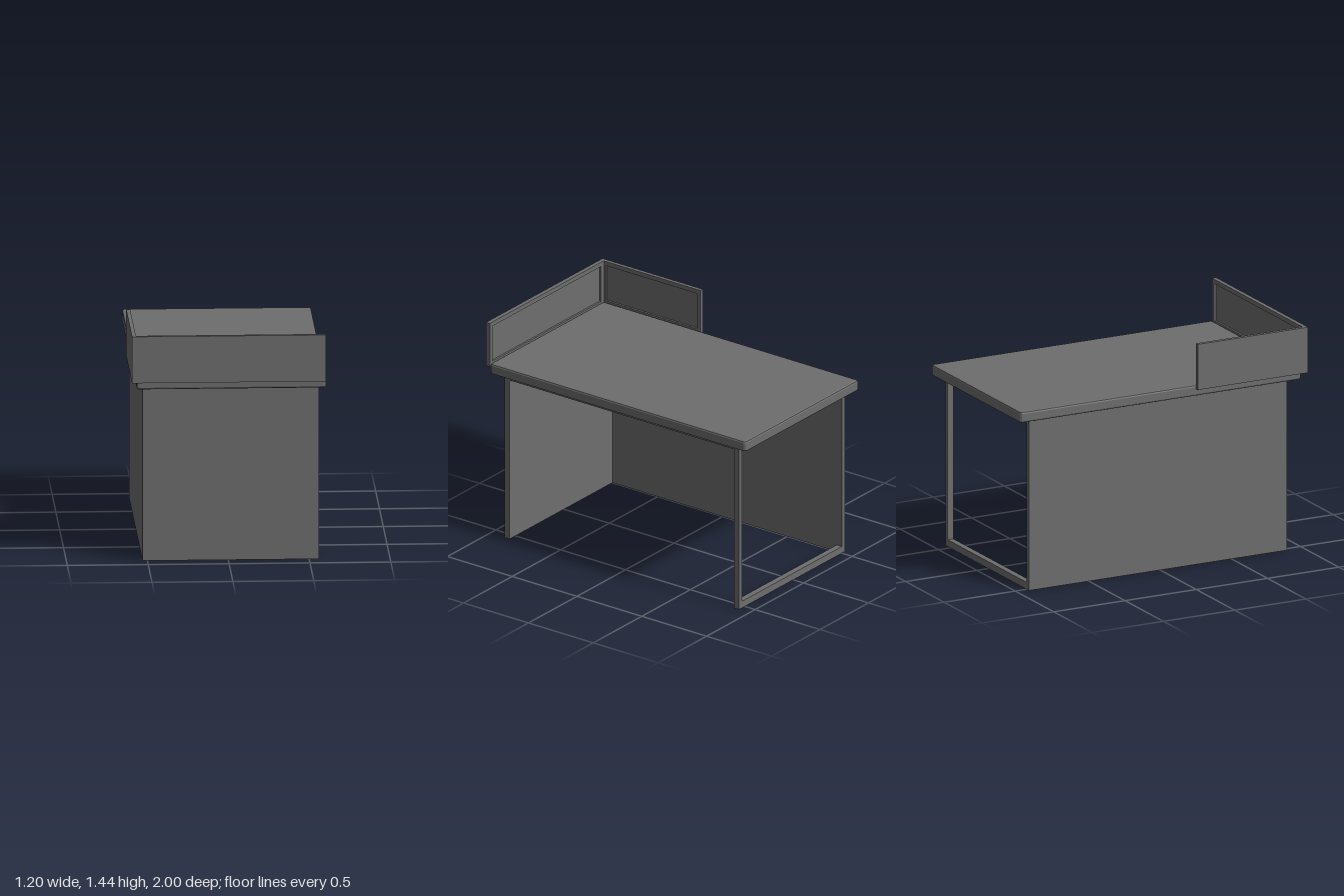
import * as THREE from 'three';

const grey = new THREE.MeshStandardMaterial({ color: 0x6e6e6e });
grey.name = 'charcoal grey';

// Box given by its minimum and maximum corners
function box(name, [x0, y0, z0], [x1, y1, z1]) {
  const mesh = new THREE.Mesh(new THREE.BoxGeometry(x1 - x0, y1 - y0, z1 - z0), grey);
  mesh.name = name;
  mesh.position.set((x0 + x1) / 2, (y0 + y1) / 2, (z0 + z1) / 2);
  return mesh;
}

// Rectangular frame in the xy plane, extruded along +z
function frame(name, [x0, y0], [x1, y1], sides, bottom, top, depth) {
  const rect = (a, b, c, d) => [[a, b], [c, b], [c, d], [a, d]].map(p => new THREE.Vector2(...p));
  const shape = new THREE.Shape(rect(x0, y0, x1, y1));
  shape.holes.push(new THREE.Path(rect(x0 + sides, y0 + bottom, x1 - sides, y1 - top)));
  const geo = new THREE.ExtrudeGeometry(shape, { depth, bevelEnabled: false });
  const mesh = new THREE.Mesh(geo, grey);
  mesh.name = name;
  return mesh;
}

// Slab with rounded corners and softened edges
function tabletop() {
  const bevel = 0.012, w = 1.17 / 2 - bevel, d = 1.97 / 2 - bevel, r = 0.008;
  const s = new THREE.Shape();
  s.moveTo(-w + r, -d);
  s.lineTo(w - r, -d);
  s.quadraticCurveTo(w, -d, w, -d + r);
  s.lineTo(w, d - r);
  s.quadraticCurveTo(w, d, w - r, d);
  s.lineTo(-w + r, d);
  s.quadraticCurveTo(-w, d, -w, d - r);
  s.lineTo(-w, -d + r);
  s.quadraticCurveTo(-w, -d, -w + r, -d);
  const geo = new THREE.ExtrudeGeometry(s, {
    depth: 0.07 - 2 * bevel, bevelSize: bevel, bevelThickness: bevel,
    bevelSegments: 2, curveSegments: 3,
  });
  geo.rotateX(-Math.PI / 2);
  const mesh = new THREE.Mesh(geo, grey);
  mesh.name = 'tabletop';
  mesh.position.set(0.015, 1.1 + bevel, -0.015);
  return mesh;
}

export function createModel() {
  const desk = new THREE.Group();
  desk.name = 'desk';

  // Base: two closed panels, an open back frame and a rail along the open side
  const base = new THREE.Group();
  base.name = 'base';
  base.add(box('frontPanel', [-0.53, 0, 0.85], [0.56, 1.1, 0.89]));
  base.add(box('sidePanel', [-0.53, 0, -0.88], [-0.5, 1.1, 0.85]));
  base.add(box('sideRail', [0.53, 1.075, -0.88], [0.56, 1.1, 0.85]));
  const back = frame('backFrame', [-0.53, 0], [0.56, 1.1], 0.03, 0.045, 0.025, 0.04);
  back.position.z = -0.92;
  base.add(back);

  // Privacy screen: thin sheets with raised rims on the inside
  const screen = new THREE.Group();
  screen.name = 'privacyScreen';
  screen.add(box('frontSheet', [-0.6, 1.148, 0.985], [0.6, 1.442, 1]));
  const frontRim = frame('frontRim', [-0.575, 1.148], [0.6, 1.442], 0.028, 0.028, 0.028, 0.013);
  frontRim.position.z = 0.972;
  screen.add(frontRim);
  screen.add(box('sideSheet', [-0.6, 1.148, 0.227], [-0.588, 1.442, 0.985]));
  const sideRim = frame('sideRim', [-0.985, 1.148], [-0.227, 1.442], 0.028, 0.028, 0.028, 0.013);
  sideRim.rotation.y = Math.PI / 2;
  sideRim.position.x = -0.588;
  screen.add(sideRim);

  desk.add(base, tabletop(), screen);
  return desk;
}
